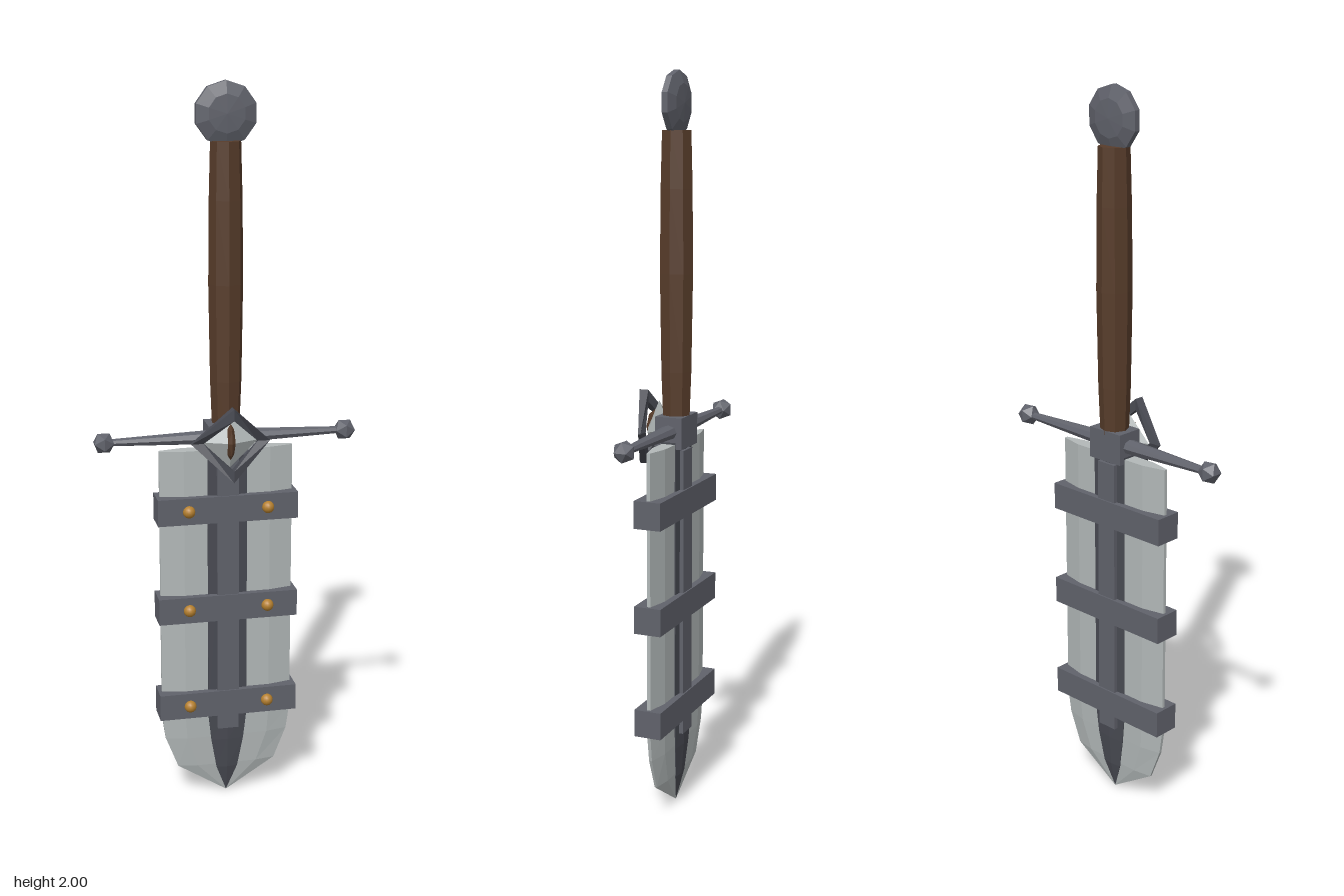
import * as THREE from 'three';

const Z = -0.032; // middle plane of the weapon

const mat = (name, color) => {
  const m = new THREE.MeshStandardMaterial({ color });
  m.name = name;
  return m;
};

// Faceted normals
function flat(geo) {
  const g = geo.index ? geo.toNonIndexed() : geo;
  g.computeVertexNormals();
  return g;
}

// Skin through rings of [x, y, z] points; each ring is closed
function loft(rings, closeRows = false) {
  const n = rings[0].length, pos = [];
  const last = closeRows ? rings.length : rings.length - 1;
  for (let i = 0; i < last; i++) {
    const lo = rings[i], hi = rings[(i + 1) % rings.length];
    for (let j = 0; j < n; j++) {
      const k = (j + 1) % n;
      pos.push(...lo[j], ...lo[k], ...hi[k], ...lo[j], ...hi[k], ...hi[j]);
    }
  }
  const g = new THREE.BufferGeometry();
  g.setAttribute('position', new THREE.Float32BufferAttribute(pos, 3));
  return flat(g);
}

const lathe = (pts, sides) =>
  flat(new THREE.LatheGeometry(pts.map(p => new THREE.Vector2(...p)), sides));

export function createModel() {
  const root = new THREE.Group();
  root.name = 'sword';
  const steel = mat('pale steel', 0xb2b8b8);
  const iron = mat('iron', 0x60626b);
  const darkIron = mat('dark iron', 0x484a52);
  const leather = mat('brown leather', 0x573c2a);
  const brass = mat('brass', 0xb5802f);

  const add = (name, geo, material, x = 0, y = 0, z = Z) => {
    const m = new THREE.Mesh(geo, material);
    m.name = name;
    m.position.set(x, y, z);
    root.add(m);
    return m;
  };

  // Blade: [y, half width, bevel start, half thickness]
  const bladeRows = [
    [0, 0, 0, 0], [0.09, 0.14, 0.085, 0.012], [0.18, 0.175, 0.115, 0.017],
    [0.25, 0.185, 0.12, 0.019], [1.03, 0.185, 0.12, 0.019], [1.03, 0, 0, 0],
  ];
  add('blade', loft(bladeRows.map(([y, w, m, t]) => [
    [-w, y, t * 0.25], [-m, y, t], [m, y, t], [w, y, t * 0.25],
    [w, y, -t * 0.25], [m, y, -t], [-m, y, -t], [-w, y, -t * 0.25],
  ])), steel);

  // Dark core with a low ridge: [y, half width, edge depth, ridge depth]
  const coreRows = [
    [0.0, 0, 0, 0], [0.08, 0.03, 0.013, 0.017], [0.17, 0.046, 0.019, 0.024],
    [0.25, 0.055, 0.021, 0.026], [1.035, 0.055, 0.021, 0.026], [1.035, 0, 0, 0],
  ];
  add('bladeCore', loft(coreRows.map(([y, w, t, r]) => [
    [-w, y, t], [0, y, r], [w, y, t], [w, y, -t], [0, y, -r], [-w, y, -t],
  ])), darkIron);

  // Raised spine on both faces
  add('spine', new THREE.BoxGeometry(0.06, 0.8, 0.068), iron, 0, 0.61);

  // Bands with two rivets each on the front
  for (const y of [0.29, 0.578, 0.865]) {
    add('band', new THREE.BoxGeometry(0.39, 0.075, 0.076), iron, 0, y);
    for (const s of [-1, 1])
      add('rivet', new THREE.SphereGeometry(0.017, 14, 10), brass, s * 0.11, y, 0.008);
  }

  // Guard block, tapered arms and faceted end knobs
  add('guardBlock', new THREE.BoxGeometry(0.11, 0.085, 0.076), iron, 0, 1.06);
  for (const s of [-1, 1]) {
    const arm = add('guardArm', flat(new THREE.CylinderGeometry(0.012, 0.027, 0.32, 8)),
      iron, s * 0.16, 1.062);
    arm.rotation.z = -s * Math.PI / 2;
    arm.scale.x = 0.8;
    add('guardKnob', flat(new THREE.IcosahedronGeometry(0.031, 0)), iron, s * 0.333, 1.062);
  }

  // Grip and disc pommel
  add('grip', lathe([[0, 1.09], [0.038, 1.09], [0.043, 1.22], [0.047, 1.48],
    [0.045, 1.7], [0.041, 1.85], [0, 1.85]], 8), leather);
  const pommel = add('pommel', lathe([[0, -0.023], [0.05, -0.02], [0.083, -0.008],
    [0.083, 0.008], [0.05, 0.02], [0, 0.023]], 10), iron, 0, 1.919);
  pommel.rotation.x = Math.PI / 2;

  // Eye ornament: bent diamond frame, [direction x, direction y, z front, z back]
  const corners = [[1, 0, 0.032, 0.025], [0, 1, 0.076, 0.05],
    [-1, 0, 0.032, 0.025], [0, -1, 0.076, 0.05]];
  add('eyeFrame', loft(corners.map(([dx, dy, f, b]) =>
    [[0.074, f], [0.108, f], [0.108, b], [0.074, b]].map(([r, z]) =>
      [dx * r, dy * r * 0.94, z])), true), darkIron, 0, 1.062, 0);
  const eye = add('eye', flat(new THREE.OctahedronGeometry(1, 0)), steel, 0, 1.062, 0.018);
  eye.scale.set(0.078, 0.075, 0.033);
  const slit = add('pupil', flat(new THREE.OctahedronGeometry(1, 1)), leather, 0, 1.062, 0.03);
  slit.scale.set(0.014, 0.05, 0.026);

  return root;
}
